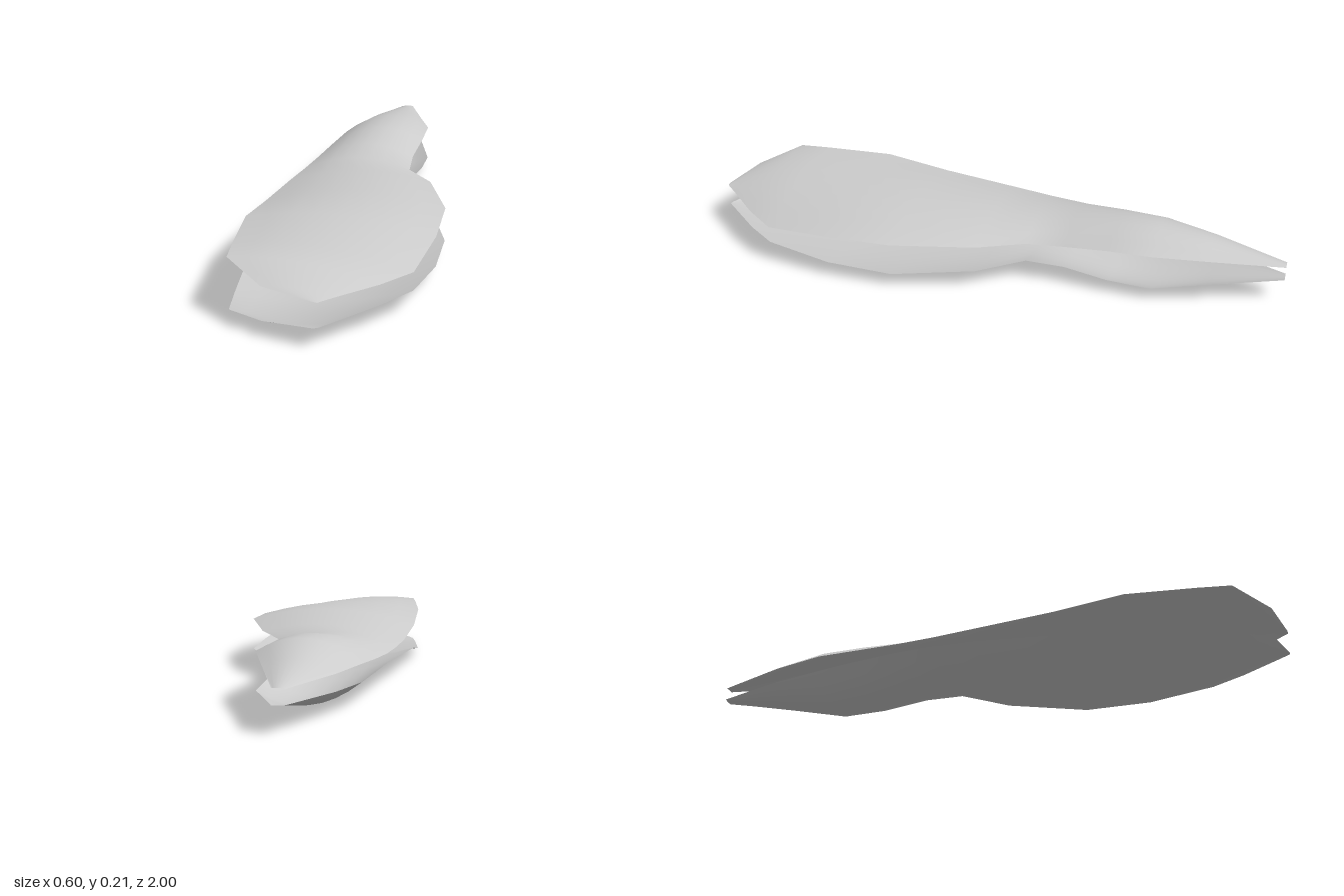
import * as THREE from 'three';

const HEIGHT = 0.208;
const COLUMNS = 8;

// Cross-sections, front to back: z, left-hand rim x/y, right-hand rim x/y, crest y
const SECTIONS = [
  [1.0, 0.025, 0.144, 0.04, 0.142, 0.143],
  [0.955, -0.13, 0.157, 0.08, 0.141, 0.158],
  [0.84, -0.26, 0.187, 0.185, 0.136, 0.187],
  [0.73, -0.275, 0.185, 0.265, 0.133, 0.191],
  [0.5, -0.3, 0.179, 0.3, 0.154, 0.204],
  [0.27, -0.298, 0.146, 0.3, 0.16, 0.202],
  [0.0, -0.28, 0.127, 0.215, 0.15, 0.178],
  [-0.15, -0.262, 0.121, 0.12, 0.137, 0.172],
  [-0.28, -0.245, 0.12, 0.112, 0.143, 0.182],
  [-0.43, -0.222, 0.125, 0.125, 0.16, 0.202],
  [-0.58, -0.195, 0.132, 0.128, 0.165, 0.206],
  [-0.76, -0.14, 0.13, 0.075, 0.148, 0.173],
  [-1.0, -0.035, 0.126, 0.005, 0.128, 0.128],
];

// Lofts one arched sheet; the lower one is the upper one turned over in y
function shellGeometry(lower) {
  const positions = [];
  const indices = [];
  const row = COLUMNS + 1;
  SECTIONS.forEach(([z, xl, yl, xr, yr, crest], i) => {
    for (let j = 0; j <= COLUMNS; j++) {
      const t = j / COLUMNS;
      const bulge = (crest - (yl + yr) / 2) * 4 * t * (1 - t);
      const y = THREE.MathUtils.lerp(yl, yr, t) + bulge;
      positions.push(THREE.MathUtils.lerp(xl, xr, t), lower ? HEIGHT - y : y, z);
      if (i === SECTIONS.length - 1 || j === COLUMNS) continue;
      const a = i * row + j, b = a + 1, c = a + row, d = c + 1;
      if (lower) indices.push(a, c, b, b, c, d);
      else indices.push(a, b, c, b, d, c);
    }
  });
  const geometry = new THREE.BufferGeometry();
  geometry.setAttribute('position', new THREE.Float32BufferAttribute(positions, 3));
  geometry.setIndex(indices);
  geometry.computeVertexNormals();
  return geometry;
}

export function createModel() {
  const group = new THREE.Group();
  group.name = 'pairedShells';
  const lightGrey = new THREE.MeshStandardMaterial({ color: 0xcccccc, side: THREE.DoubleSide });
  lightGrey.name = 'light grey';
  for (const lower of [false, true]) {
    const shell = new THREE.Mesh(shellGeometry(lower), lightGrey);
    shell.name = lower ? 'lowerShell' : 'upperShell';
    group.add(shell);
  }
  return group;
}
